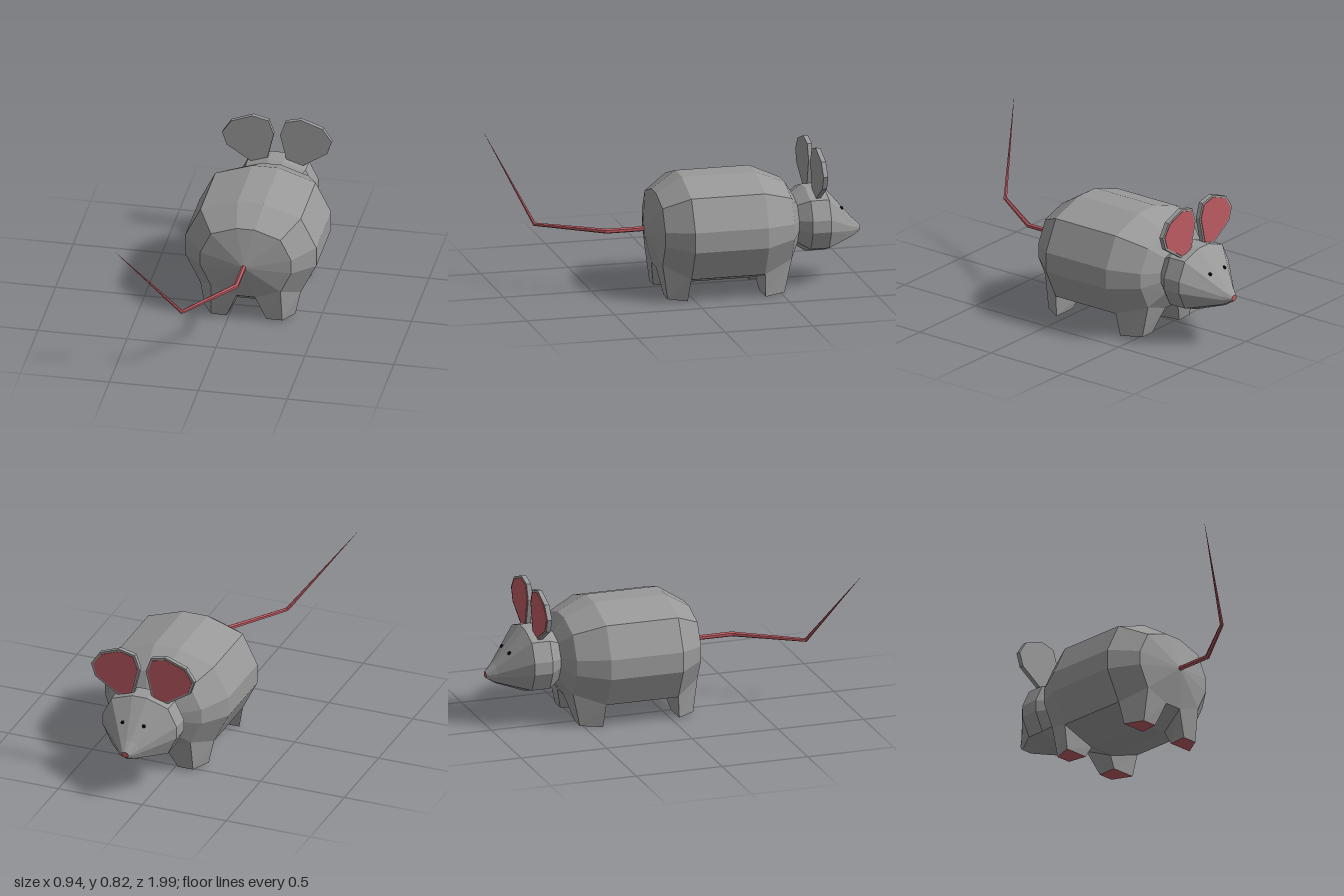
import * as THREE from 'three';

const mat = (name, color) => {
  const m = new THREE.MeshStandardMaterial({ color, flatShading: true });
  m.name = name;
  return m;
};

const V = (x, y, z) => new THREE.Vector3(x, y, z);

function trianglesToGeometry(tris) {
  const g = new THREE.BufferGeometry().setFromPoints(tris);
  g.computeVertexNormals();
  return g;
}

// Skin between successive rings of equal point count
function loft(rings) {
  const tris = [];
  for (let i = 0; i < rings.length - 1; i++) {
    const n = rings[i].length;
    for (let k = 0; k < n; k++) {
      const a = rings[i][k], b = rings[i][(k + 1) % n];
      const c = rings[i + 1][(k + 1) % n], d = rings[i + 1][k];
      tris.push(a, b, c, a, c, d);
    }
  }
  return trianglesToGeometry(tris);
}

// Fan closing the last ring of a loft
function cap(ring) {
  const centre = ring.reduce((s, p) => s.add(p), V(0, 0, 0)).divideScalar(ring.length);
  return trianglesToGeometry(ring.flatMap((p, k) => [centre, p, ring[(k + 1) % ring.length]]));
}

// Twelve-sided section shared by body and head, clockwise from the top
const half = [[0.2, 1], [0.764, 0.767], [1, 0.19], [1, -0.19], [0.764, -0.767], [0.2, -1]];
const section = [...half, ...half.map(([x, y]) => [-x, y]).reverse()];
const ringAt = ([z, w, h, cy]) => section.map(([x, y]) => V(x * w, cy + y * h, z));

export function createModel() {
  const fur = mat('greyFur', 0x999999);
  const pink = mat('pinkSkin', 0xbb5a61);
  const black = mat('eyeBlack', 0x0c0c0c);

  const model = new THREE.Group();
  model.name = 'mouse';
  const animal = new THREE.Group();
  animal.name = 'animal';
  animal.position.x = 0.1025;
  model.add(animal);
  const add = (name, geometry, material, parent = animal) => {
    const m = new THREE.Mesh(geometry, material);
    m.name = name;
    parent.add(m);
    return m;
  };

  // Body, from rump to neck: z, half width, half height, centre y
  const bodyRings = [
    [0.232, 0.0005, 0.0005, 0.366],
    [0.172, 0.256, 0.211, 0.366],
    [0.03, 0.369, 0.301, 0.366],
    [-0.39, 0.369, 0.301, 0.366],
    [-0.56, 0.275, 0.226, 0.366],
    [-0.615, 0.165, 0.138, 0.367],
  ].map(ringAt);
  add('body', loft(bodyRings), fur);

  // Head tapering to the muzzle
  const headRings = [
    [-0.615, 0.165, 0.138, 0.367],
    [-0.68, 0.22, 0.18, 0.366],
    [-0.785, 0.22, 0.18, 0.366],
    [-0.95, 0.062, 0.056, 0.297],
    [-1.0, 0.02, 0.016, 0.29],
  ].map(ringAt);
  add('head', loft(headRings), fur);
  add('nose', cap(headRings[4]), pink);

  // Legs drawn down from the underside, with pink soles
  const legs = [
    { name: 'rearLeg', front: bodyRings[2], back: bodyRings[1],
      foot: [[0.11, 0.005, 0.045], [0.255, 0.005, 0.045], [0.2, 0.01, 0.145], [0.112, 0.01, 0.145]] },
    { name: 'frontLeg', front: bodyRings[4], back: bodyRings[3],
      foot: [[0.12, 0.005, -0.52], [0.21, 0.005, -0.52], [0.255, 0, -0.4], [0.11, 0, -0.4]] },
  ];
  for (const { name, front, back, foot } of legs) {
    for (const side of [1, -1]) {
      const place = (pts) => {
        const out = pts.map((p) => V(p.x * side, p.y, p.z));
        return side > 0 ? out : out.reverse();
      };
      const top = place([front[5], front[4], back[4], back[5]]);
      const bottom = place(foot.map((p) => V(...p)));
      add(name, loft([top, bottom]), fur);
      add(name + 'Sole', cap(bottom), pink);
    }
  }

  // Ears: grey slab with a thin pink inner face toward the muzzle
  const earOutline = [
    [0.06, 0.51], [0.145, 0.51], [0.283, 0.6], [0.308, 0.675],
    [0.258, 0.75], [0.137, 0.795], [0.047, 0.773], [0.018, 0.69],
  ];
  const centre = [0.155, 0.66];
  const earShape = (scale, side) => new THREE.Shape(earOutline.map(([x, y]) => new THREE.Vector2(
    side * (centre[0] + (x - centre[0]) * scale), centre[1] + (y - centre[1]) * scale)));
  for (const side of [1, -1]) {
    const ear = new THREE.Group();
    ear.name = 'ear';
    animal.add(ear);
    const slab = new THREE.ExtrudeGeometry(earShape(1, side), { depth: 0.026, bevelEnabled: false });
    add('earBack', slab, fur, ear).position.z = -0.742;
    const inner = new THREE.ExtrudeGeometry(earShape(0.91, side), { depth: 0.004, bevelEnabled: false });
    add('earInner', inner, pink, ear).position.z = -0.745;

    // Eyes
    add('eye', new THREE.IcosahedronGeometry(0.012, 0), black).position.set(side * 0.0635, 0.422, -0.88);
  }

  // Tail, from the tip back to the rump
  const path = [V(-0.57, 0.815, 0.99), V(-0.236, 0.367, 0.79), V(0, 0.366, 0.44), V(0, 0.366, 0.215)];
  const radii = [0.0005, 0.011, 0.014, 0.014];
  const tailRings = path.map((p, i) => {
    const before = path[Math.max(i - 1, 0)], after = path[Math.min(i + 1, path.length - 1)];
    const n = V(0, 0, 0);
    if (before !== p) n.add(before.clone().sub(p).normalize());
    if (after !== p) n.add(p.clone().sub(after).normalize());
    n.normalize();
    const right = V(0, 1, 0).cross(n).normalize();
    const up = n.clone().cross(right);
    return Array.from({ length: 6 }, (_, k) => {
      const a = (k / 6) * Math.PI * 2;
      return p.clone().addScaledVector(right, Math.sin(a) * radii[i]).addScaledVector(up, Math.cos(a) * radii[i]);
    });
  });
  add('tail', loft(tailRings), pink);

  return model;
}
